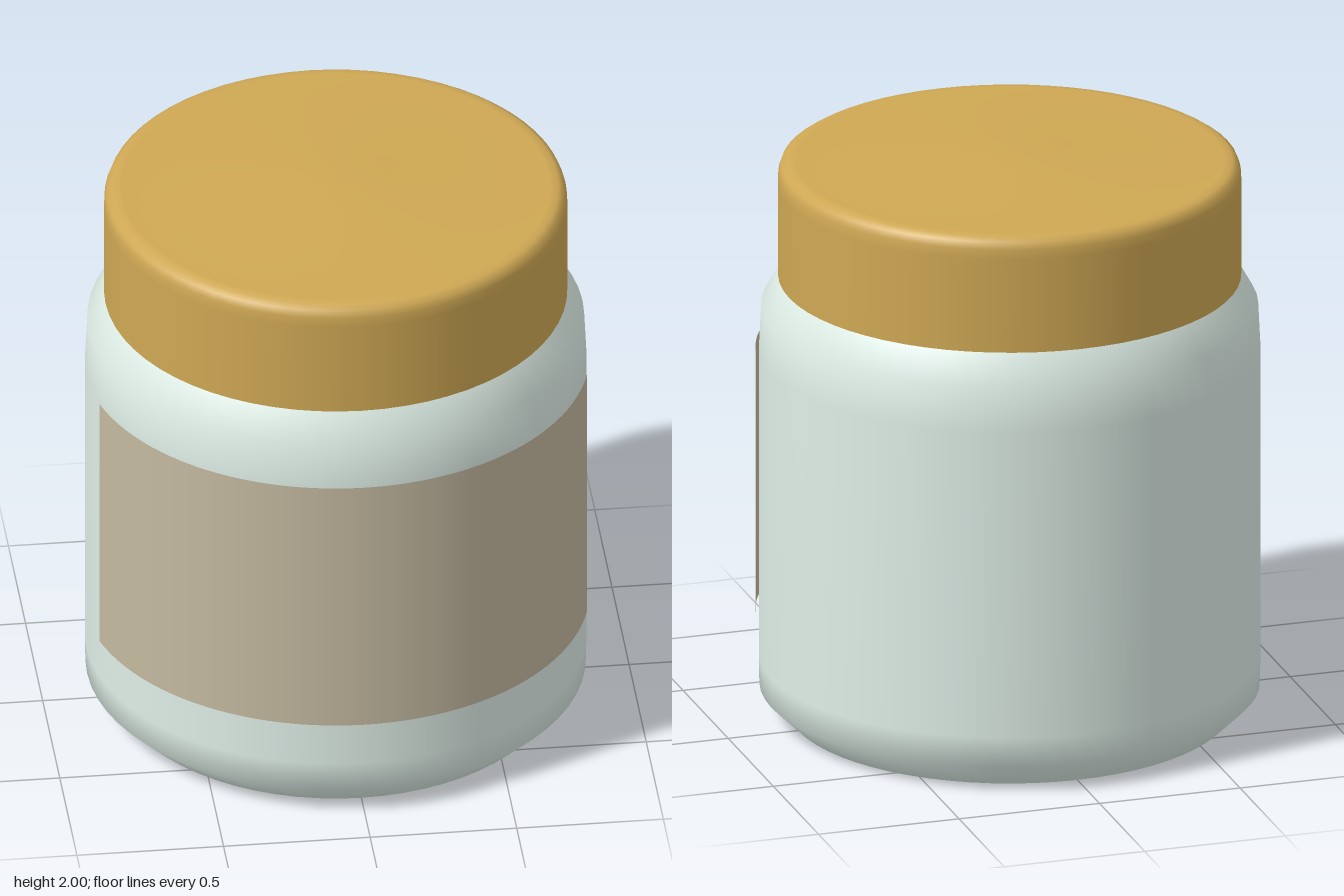
import * as THREE from 'three';

const SEGMENTS = 64;

// Revolved part from [radius, height] pairs, listed from bottom to top
function lathe(name, points, material) {
  const profile = points.map(([r, y]) => new THREE.Vector2(r, y));
  const mesh = new THREE.Mesh(new THREE.LatheGeometry(profile, SEGMENTS), material);
  mesh.name = name;
  return mesh;
}

export function createModel() {
  const model = new THREE.Group();
  model.name = 'jar';
  const glass = new THREE.MeshStandardMaterial({ color: 0xdfeee7 });
  const gold = new THREE.MeshStandardMaterial({ color: 0xcfa854 });
  const paper = new THREE.MeshStandardMaterial({ color: 0xc4b9a0, side: THREE.DoubleSide });

  const jar = new THREE.Group();
  jar.name = 'jarAssembly';
  jar.position.z = -0.005; // the label stands slightly proud at the front
  model.add(jar);

  // Body: chamfered foot, straight wall, tapered shoulder
  jar.add(lathe('body', [
    [0.75, 0], [0.848, 0.095], [0.85, 0.2], [0.85, 1.3], [0.842, 1.46], [0.78, 1.57],
  ], glass));
  jar.add(lathe('base', [[0, 0], [0.75, 0]], glass));

  // Lid: straight skirt with a rounded rim and a shallow domed top
  jar.add(lathe('lidUnderside', [[0, 1.565], [0.785, 1.565]], gold));
  jar.add(lathe('lidSkirt', [
    [0.785, 1.565], [0.785, 1.9], [0.784, 1.935], [0.775, 1.96], [0.755, 1.973], [0.73, 1.975],
  ], gold));
  jar.add(lathe('lidTop', [
    [0.73, 1.975], [0.5, 1.979], [0.18, 1.995], [0.08, 1.999], [0, 2],
  ], gold));

  // Label: thin sheet wrapped around the front
  const half = THREE.MathUtils.degToRad(75);
  const label = new THREE.Mesh(
    new THREE.CylinderGeometry(0.861, 0.861, 0.945, 48, 1, true, -half, half * 2), paper);
  label.name = 'label';
  label.position.y = 0.8325;
  jar.add(label);

  return model;
}
